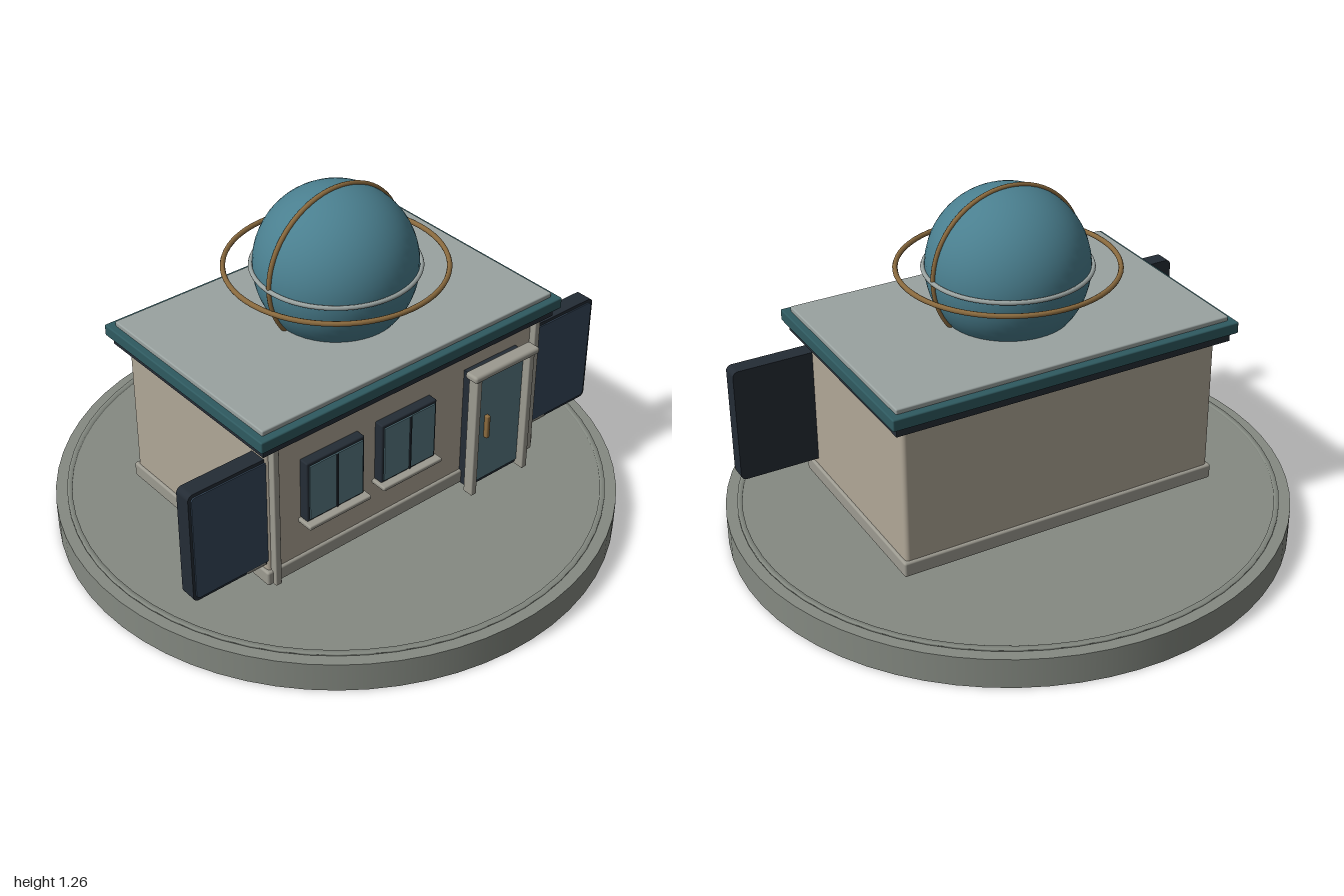
import * as THREE from 'three';
import { RoundedBoxGeometry } from 'three/addons/geometries/RoundedBoxGeometry.js';

const mat = (color) => new THREE.MeshStandardMaterial({ color });
const M = {
  stone: mat(0x858a82), wall: mat(0xb0a797), trim: mat(0x9c9a90), roof: mat(0x9aa3a1),
  teal: mat(0x2f5a60), dark: mat(0x242c35), screen: mat(0x35475a),
  glass: mat(0x587a84), dome: mat(0x4a7f8f), bronze: mat(0x8a6a3e),
};

function add(parent, name, geometry, material, x = 0, y = 0, z = 0) {
  const mesh = new THREE.Mesh(geometry, material);
  mesh.name = name;
  mesh.position.set(x, y, z);
  parent.add(mesh);
  return mesh;
}

// Box given by its extents on each axis, with optional rounded edges
function box(parent, name, material, [x0, x1], [y0, y1], [z0, z1], r = 0) {
  const size = [x1 - x0, y1 - y0, z1 - z0];
  const geometry = r ? new RoundedBoxGeometry(...size, 2, r) : new THREE.BoxGeometry(...size);
  return add(parent, name, geometry, material, (x0 + x1) / 2, (y0 + y1) / 2, (z0 + z1) / 2);
}

// Upright slab with rounded corners, extruded along z
function roundedSlab(w, h, d, r) {
  const s = new THREE.Shape();
  const a = w / 2 - r, b = h / 2 - r;
  s.absarc(a, b, r, 0, Math.PI / 2);
  s.absarc(-a, b, r, Math.PI / 2, Math.PI);
  s.absarc(-a, -b, r, Math.PI, Math.PI * 1.5);
  s.absarc(a, -b, r, Math.PI * 1.5, Math.PI * 2);
  return new THREE.ExtrudeGeometry(s, { depth: d, bevelEnabled: false, curveSegments: 5 });
}

function makeWindow(x) {
  const g = new THREE.Group();
  g.name = 'window';
  const w = 0.12, y = [0.36, 0.595];
  box(g, 'windowFrame', M.dark, [-w, w], y, [0.37, 0.41], 0.005);
  box(g, 'windowGlass', M.glass, [-w + 0.01, w - 0.01], [0.37, 0.583], [0.4, 0.415]);
  box(g, 'windowMullion', M.dark, [-0.003, 0.003], [0.37, 0.583], [0.41, 0.42]);
  box(g, 'windowSill', M.trim, [-w - 0.01, w + 0.01], [0.345, 0.361], [0.37, 0.437], 0.005);
  g.position.x = x;
  return g;
}

function makeDoor() {
  const g = new THREE.Group();
  g.name = 'door';
  box(g, 'doorJamb', M.dark, [0.25, 0.49], [0.15, 0.625], [0.37, 0.42]);
  box(g, 'doorPanel', M.glass, [0.263, 0.477], [0.17, 0.615], [0.41, 0.43]);
  for (const x of [0.247, 0.493])
    box(g, 'doorPost', M.trim, [x - 0.012, x + 0.012], [0.14, 0.63], [0.415, 0.457], 0.004);
  box(g, 'doorLintel', M.trim, [0.22, 0.52], [0.624, 0.65], [0.41, 0.466], 0.01);
  box(g, 'doorHandle', M.bronze, [0.304, 0.32], [0.35, 0.443], [0.428, 0.447], 0.005);
  return g;
}

export function createModel() {
  const model = new THREE.Group();
  model.name = 'domedBuilding';

  // Round base with a thin raised ring
  add(model, 'base', new THREE.CylinderGeometry(1, 1, 0.11, 64), M.stone, 0, 0.055, 0);
  const ring = [[0.942, 0.108], [0.96, 0.108], [0.96, 0.118], [0.942, 0.118], [0.942, 0.108]];
  const ringGeometry = new THREE.LatheGeometry(ring.map((p) => new THREE.Vector2(...p)), 64);
  add(model, 'baseRing', ringGeometry, M.stone);

  // Walls and plinth
  box(model, 'plinth', M.trim, [-0.605, 0.605], [0.15, 0.205], [-0.385, 0.385], 0.008);
  box(model, 'walls', M.wall, [-0.595, 0.595], [0.155, 0.73], [-0.375, 0.375], 0.015);
  for (const x of [-0.572, 0.572])
    box(model, 'cornerPost', M.trim, [x - 0.012, x + 0.012], [0.15, 0.7], [0.37, 0.4], 0.004);

  // Stepped roof
  box(model, 'eaves', M.dark, [-0.63, 0.63], [0.705, 0.74], [-0.41, 0.41]);
  box(model, 'cornice', M.teal, [-0.65, 0.65], [0.738, 0.78], [-0.43, 0.43], 0.005);
  box(model, 'roofSlab', M.roof, [-0.625, 0.625], [0.775, 0.797], [-0.402, 0.402], 0.005);

  // Front openings
  model.add(makeWindow(-0.34), makeWindow(-0.025), makeDoor());

  // Side panels, mirrored
  for (const s of [-1, 1]) {
    const wing = new THREE.Group();
    wing.name = 'sidePanel';
    add(wing, 'panelFrame', roundedSlab(0.315, 0.425, 0.06, 0.02), M.dark, s * 0.7275, 0.4425, 0.305);
    add(wing, 'panelScreen', roundedSlab(0.295, 0.4, 0.008, 0.015), M.screen, s * 0.7275, 0.4425, 0.362);
    const cx = s * 0.638;
    box(wing, 'panelLabel', M.trim, [cx - 0.037, cx + 0.037], [0.235, 0.241], [0.36, 0.372]);
    model.add(wing);
  }

  // Globe with bronze hoops
  const globe = new THREE.Group();
  globe.name = 'globe';
  globe.position.y = 0.972;
  add(globe, 'globeSphere', new THREE.SphereGeometry(0.28, 48, 32), M.dome);
  add(globe, 'meridianHoop', new THREE.TorusGeometry(0.282, 0.009, 8, 64), M.bronze);
  const hoops = [['equatorBand', 0.285, 0.008, M.roof], ['outerHoop', 0.377, 0.009, M.bronze]];
  for (const [name, r, t, m] of hoops)
    add(globe, name, new THREE.TorusGeometry(r, t, 8, 64), m).rotation.x = Math.PI / 2;
  model.add(globe);

  return model;
}
